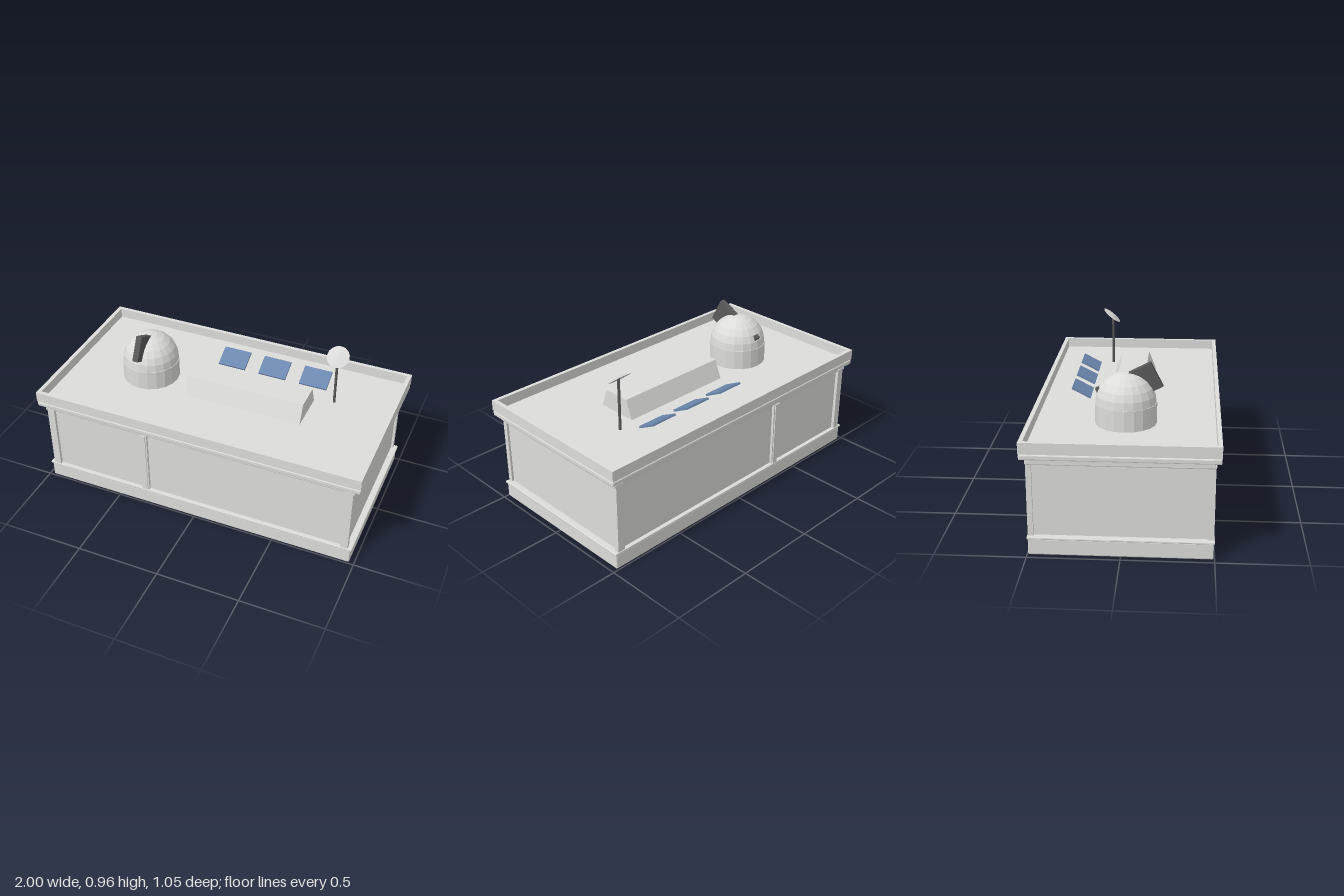
import * as THREE from 'three';
import { RoundedBoxGeometry } from 'three/addons/geometries/RoundedBoxGeometry.js';

const stone = new THREE.MeshStandardMaterial({ color: 0xdcdcda, flatShading: true });
stone.name = 'pale stone';
const dark = new THREE.MeshStandardMaterial({ color: 0x5a5a5a, flatShading: true });
dark.name = 'dark metal';
const blue = new THREE.MeshStandardMaterial({ color: 0x6c88b0, flatShading: true });
blue.name = 'solar blue';
const dishGrey = new THREE.MeshStandardMaterial({ color: 0xd8d8d8, flatShading: true, side: THREE.DoubleSide });
dishGrey.name = 'dish grey';

export function createModel() {
  const root = new THREE.Group();
  root.name = 'rooftopObservatory';

  const add = (name, geo, mat, x = 0, y = 0, z = 0, rx = 0) => {
    const m = new THREE.Mesh(geo, mat);
    m.name = name;
    m.position.set(x, y, z);
    m.rotation.x = rx;
    root.add(m);
    return m;
  };
  const box = (w, h, d) => new THREE.BoxGeometry(w, h, d);
  // full-width course given by half sizes and bottom/top heights, with softened edges
  const course = (name, hx, hz, y0, y1, r = 0.004) =>
    add(name, new RoundedBoxGeometry(hx * 2, y1 - y0, hz * 2, 1, r), stone, 0, (y0 + y1) / 2, 0);
  const deckY = 0.595;

  // stacked courses of the building
  add('underside', box(1.928, 0.004, 0.974), dark, 0, 0.002, 0);
  course('plinth', 0.971, 0.494, 0.003, 0.096, 0.006);
  course('plinthMoulding', 0.98, 0.499, 0.095, 0.108);
  course('walls', 0.942, 0.476, 0.1, 0.53);
  course('frieze', 0.966, 0.491, 0.518, 0.553, 0.006);
  course('corniceNeck', 0.95, 0.478, 0.55, 0.562);
  course('cornice', 0.999, 0.523, 0.558, 0.587, 0.006);
  course('roofDeck', 0.985, 0.51, 0.58, deckY);

  // parapet ring around the deck
  const ring = new THREE.Shape([[-1, -0.524], [1, -0.524], [1, 0.524], [-1, 0.524]]
    .map(([x, y]) => new THREE.Vector2(x, y)));
  ring.holes.push(new THREE.Path([[-0.975, -0.5], [-0.975, 0.5], [0.975, 0.5], [0.975, -0.5]]
    .map(([x, y]) => new THREE.Vector2(x, y))));
  const ringGeo = new THREE.ExtrudeGeometry(ring, { depth: 0.064, bevelEnabled: false });
  ringGeo.rotateX(-Math.PI / 2);
  add('parapet', ringGeo, stone, 0, 0.591, 0);

  // corner and middle pilasters, with caps on the corners
  for (const sz of [-1, 1]) {
    for (const sx of [-1, 1]) {
      add('cornerPilaster', box(0.045, 0.425, 0.03), stone, sx * 0.933, 0.32, sz * 0.48);
      add('pilasterCap', box(0.056, 0.014, 0.03), stone, sx * 0.936, 0.53, sz * 0.483);
    }
    add('middlePilaster', box(0.05, 0.412, 0.03), stone, -0.32, 0.314, sz * 0.477);
    add('middlePilasterFace', box(0.034, 0.412, 0.008), stone, -0.32, 0.314, sz * 0.494);
  }

  // domed observatory
  add('domeDrum', new THREE.CylinderGeometry(0.173, 0.173, 0.715 - deckY, 20), stone,
    -0.498, (0.715 + deckY) / 2, 0);
  add('dome', new THREE.SphereGeometry(0.17, 20, 6, 0, Math.PI * 2, 0, Math.PI / 2), stone, -0.498, 0.715, 0);
  add('telescope', box(0.035, 0.152, 0.343), dark, -0.498, 0.798, 0.018, -0.478);

  // roof lantern with sloping long sides
  const lantern = new THREE.Shape([[-0.127, 0], [0.127, 0], [0.083, 0.112], [-0.083, 0.112]]
    .map(([x, y]) => new THREE.Vector2(x, y)));
  const lanternGeo = new THREE.ExtrudeGeometry(lantern, { depth: 0.725, bevelEnabled: false });
  lanternGeo.rotateY(Math.PI / 2);
  add('roofLantern', lanternGeo, stone, -0.212, deckY, 0);
  add('lanternVent', box(0.006, 0.014, 0.08), dark, -0.214, 0.638, 0.04);

  // tilted solar panels
  for (const x of [-0.063, 0.202, 0.466]) {
    add('solarPanel', box(0.174, 0.012, 0.124), blue, x, 0.638, -0.288, 0.48);
  }

  // dish on a mast
  add('mast', new THREE.CylinderGeometry(0.008, 0.008, 0.92 - deckY, 8), dark,
    0.628, (0.92 + deckY) / 2, -0.158);
  add('dish', new THREE.ConeGeometry(0.067, 0.016, 16, 1, true), dishGrey, 0.628, 0.92, -0.161, 0.675);

  return root;
}
